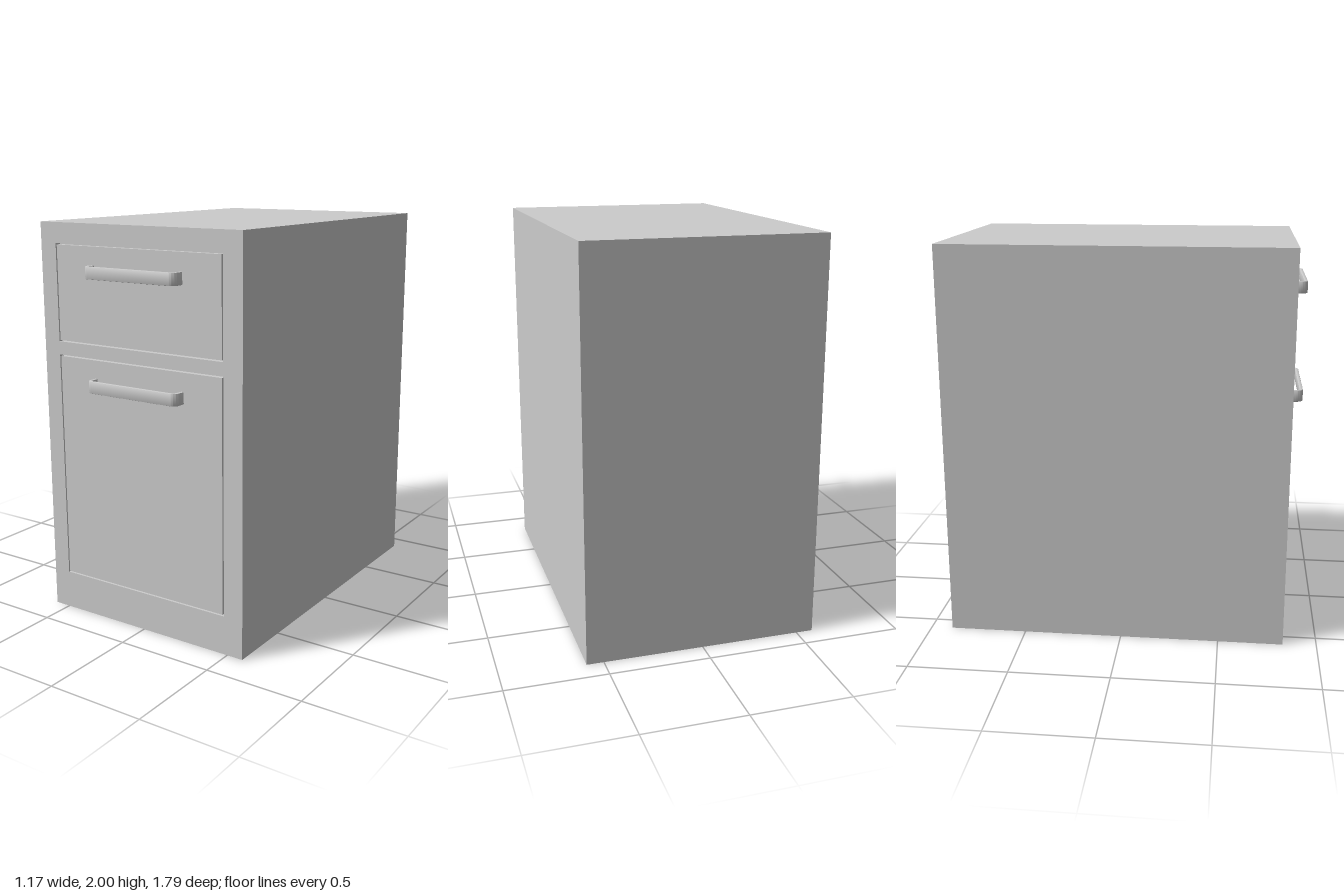
import * as THREE from 'three';
import { toCreasedNormals } from 'three/addons/utils/BufferGeometryUtils.js';

const W = 1.17, H = 2, BACK = -0.89, FRONT = 0.83, RECESS = 0.03;
const GAP = 0.007;

// Openings in the front frame, each with the height of its handle
const drawers = [
  { name: 'topDrawer', x0: -0.492, x1: 0.482, y0: 1.418, y1: 1.9, handleY: 1.775 },
  { name: 'bottomDrawer', x0: -0.492, x1: 0.482, y0: 0.195, y1: 1.352, handleY: 1.225 },
];

function rectangle(path, x0, y0, x1, y1) {
  path.moveTo(x0, y0);
  path.lineTo(x1, y0);
  path.lineTo(x1, y1);
  path.lineTo(x0, y1);
  path.closePath();
  return path;
}

// U-shaped bar with rounded corners, drawn from above and extruded along y
function handleGeometry() {
  const w = 0.267, depth = 0.065, t = 0.018, r = 0.035, ri = r - t, h = 0.06, b = 0.004;
  const s = new THREE.Shape();
  s.moveTo(-w, -0.005);
  s.lineTo(-w + t, -0.005);
  s.lineTo(-w + t, depth - r);
  s.absarc(-w + r, depth - r, ri, Math.PI, Math.PI / 2, true);
  s.lineTo(w - r, depth - t);
  s.absarc(w - r, depth - r, ri, Math.PI / 2, 0, true);
  s.lineTo(w - t, -0.005);
  s.lineTo(w, -0.005);
  s.lineTo(w, depth - r);
  s.absarc(w - r, depth - r, r, 0, Math.PI / 2, false);
  s.lineTo(-w + r, depth);
  s.absarc(-w + r, depth - r, r, Math.PI / 2, Math.PI, false);
  s.closePath();
  const geo = new THREE.ExtrudeGeometry(s, {
    depth: h - 2 * b, bevelEnabled: true, bevelSize: b, bevelOffset: -b,
    bevelThickness: b, bevelSegments: 2, curveSegments: 8,
  });
  geo.translate(0, 0, -(h - 2 * b) / 2);
  geo.rotateX(Math.PI / 2);
  return toCreasedNormals(geo, 0.7);
}

export function createModel() {
  const group = new THREE.Group();
  const material = new THREE.MeshStandardMaterial({ color: 0xcccccc });
  const add = (name, geometry, x, y, z, parent = group) => {
    const mesh = new THREE.Mesh(geometry, material);
    mesh.name = name;
    mesh.position.set(x, y, z);
    parent.add(mesh);
    return mesh;
  };

  // Cabinet carcass behind the front frame
  const depth = FRONT - RECESS - BACK;
  add('cabinetBody', new THREE.BoxGeometry(W, H, depth), 0, H / 2, BACK + depth / 2);

  // Front frame with one opening per drawer
  const frame = rectangle(new THREE.Shape(), -W / 2, 0, W / 2, H);
  for (const d of drawers) frame.holes.push(rectangle(new THREE.Path(), d.x0, d.y0, d.x1, d.y1));
  add('frontFrame', new THREE.ExtrudeGeometry(frame, { depth: RECESS, bevelEnabled: false }), 0, 0, FRONT - RECESS);

  // Flush drawer fronts with a narrow shadow gap, and their handles
  const handle = handleGeometry();
  for (const d of drawers) {
    const drawer = new THREE.Group();
    drawer.name = d.name;
    group.add(drawer);
    const w = d.x1 - d.x0 - 2 * GAP, h = d.y1 - d.y0 - 2 * GAP;
    add('drawerFront', new THREE.BoxGeometry(w, h, RECESS),
      (d.x0 + d.x1) / 2, (d.y0 + d.y1) / 2, FRONT - RECESS / 2, drawer);
    add('drawerHandle', handle, -0.004, d.handleY, FRONT, drawer);
  }
  return group;
}
